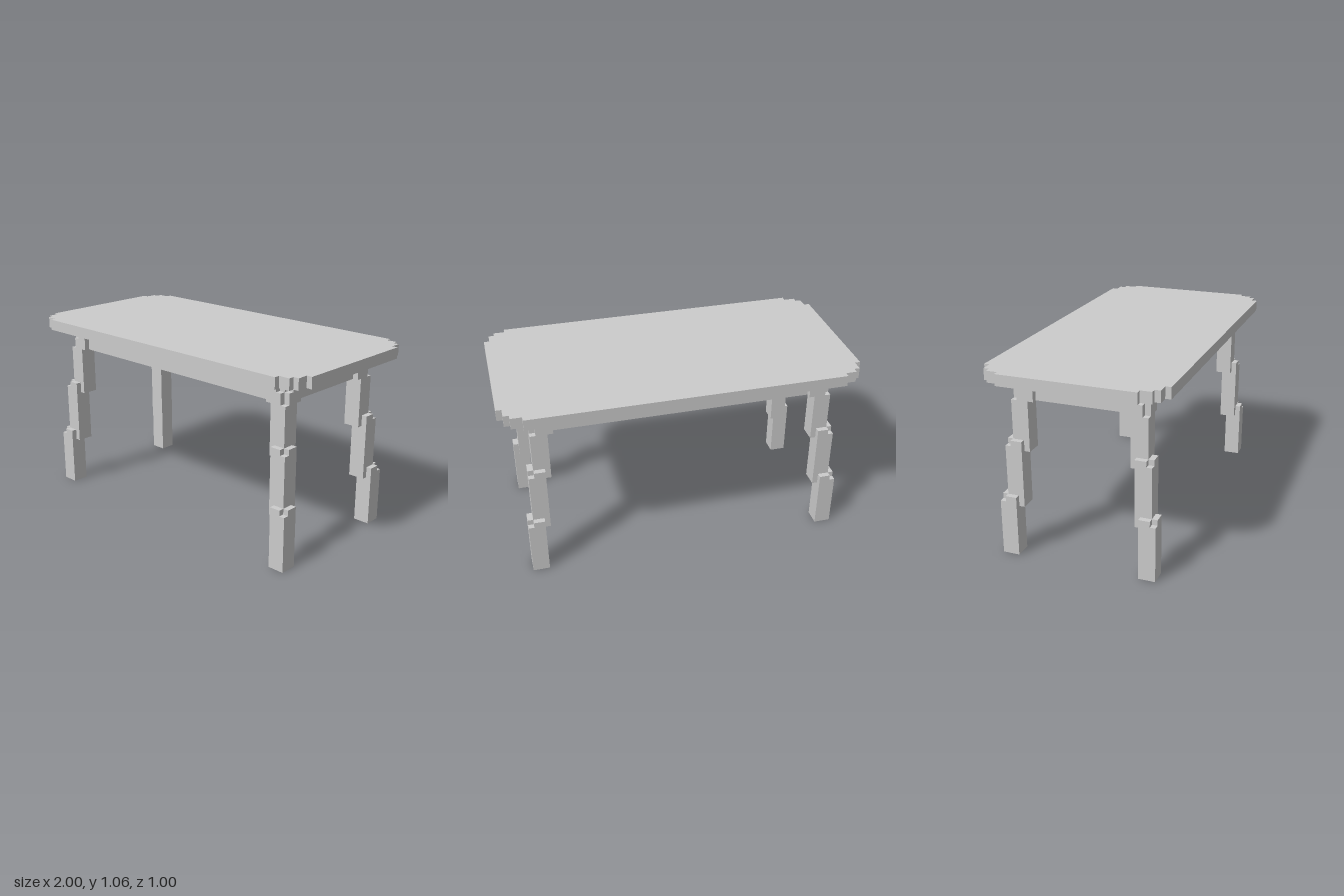
import * as THREE from 'three';

const U = 1 / 32; // one block
const material = new THREE.MeshStandardMaterial({ color: 0xcccccc, flatShading: true });

// Slab with a footprint of [x, z] points in blocks, from level y0 to y1
function slab(name, points, y0, y1) {
  const shape = new THREE.Shape(points.map(([x, z]) => new THREE.Vector2(x * U, -z * U)));
  const geometry = new THREE.ExtrudeGeometry(shape, { depth: (y1 - y0) * U, bevelEnabled: false });
  geometry.rotateX(-Math.PI / 2);
  geometry.translate(0, y0 * U, 0);
  const mesh = new THREE.Mesh(geometry, material);
  mesh.name = name;
  return mesh;
}

// Square post footprint whose outer corner is cut back in n one-block steps
function post(x0, z0, x1, z1, n) {
  const points = [[x0, z0], [x1, z0]];
  for (let i = 0; i < n; i++) points.push([x1 - i, z1 - n + i], [x1 - i - 1, z1 - n + i]);
  points.push([x1 - n, z1], [x0, z1]);
  return points;
}

// Rectangle footprint centred on the origin
const rect = (x, z) => [[-x, -z], [x, -z], [x, z], [-x, z]];

export function createModel() {
  const table = new THREE.Group();
  table.name = 'table';

  // Table top with stepped corners, mirrored to all four quadrants
  const corner = [[32, 12], [31, 12], [31, 14], [30, 14], [30, 15], [28, 15], [28, 16]];
  const back = [...corner].reverse();
  table.add(slab('tableTop', [
    ...corner,
    ...back.map(([x, z]) => [-x, z]),
    ...corner.map(([x, z]) => [-x, -z]),
    ...back.map(([x, z]) => [x, -z]),
  ], 32, 34));

  // Apron in two layers, the upper one set further in
  table.add(slab('lowerApron', rect(26, 11), 28, 30));
  table.add(slab('upperApron', rect(25, 10), 30, 32));

  // Splayed legs made of stepped posts: [x0, z0, size, y0, y1, corner steps]
  const sections = [
    ['foot', 26, 11, 3, 0, 10, 0],
    ['footShoulder', 26, 11, 3, 10, 11, 1],
    ['shin', 25, 10, 3, 9, 20, 0],
    ['shinShoulder', 25, 10, 3, 20, 21, 1],
    ['thigh', 24, 9, 3, 19, 28, 0],
    ['lowerBracket', 23, 8, 4, 28, 30, 1],
    ['upperBracket', 23, 8, 4, 30, 32, 2],
  ];
  for (const [sx, side] of [[1, 'Left'], [-1, 'Right']]) {
    for (const [sz, end] of [[1, 'front'], [-1, 'back']]) {
      const leg = new THREE.Group();
      leg.name = end + side + 'Leg';
      for (const [name, x, z, size, y0, y1, steps] of sections) {
        const points = post(x, z, x + size, z + size, steps).map(([px, pz]) => [px * sx, pz * sz]);
        leg.add(slab(name, points, y0, y1));
      }
      table.add(leg);
    }
  }
  return table;
}
